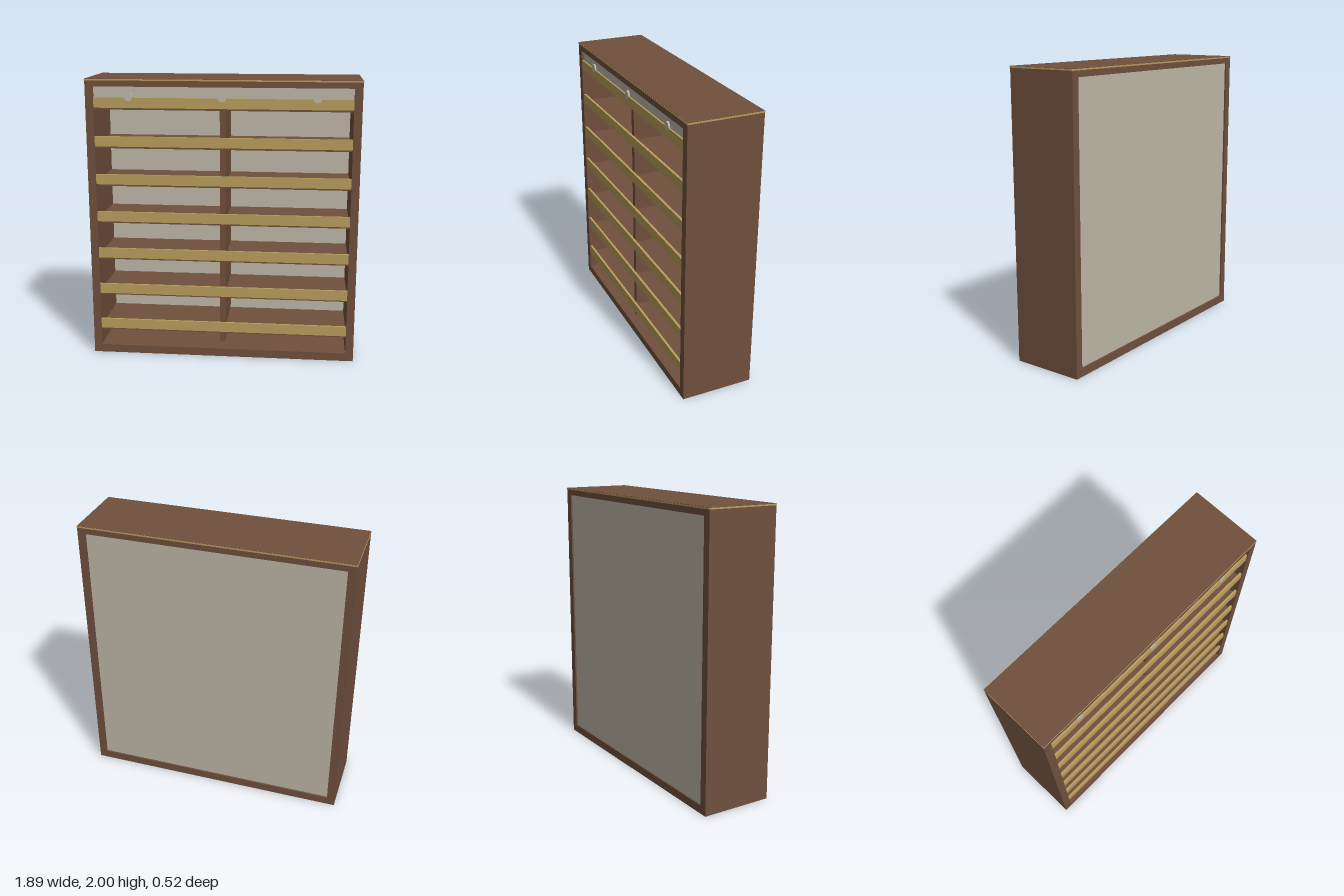
import * as THREE from 'three';

export function createModel() {
  const model = new THREE.Group();
  model.name = 'shelfCabinet';

  const mat = (name, color) => {
    const m = new THREE.MeshStandardMaterial({ color });
    m.name = name;
    return m;
  };
  const wood = mat('brown wood', 0x6f503d);
  const brass = mat('brass', 0xb99d5c);
  const panel = mat('warm grey panel', 0xbfb7a7);

  // Box given by its min and max corners
  const box = (name, material, [x0, y0, z0], [x1, y1, z1]) => {
    const mesh = new THREE.Mesh(new THREE.BoxGeometry(x1 - x0, y1 - y0, z1 - z0), material);
    mesh.position.set((x0 + x1) / 2, (y0 + y1) / 2, (z0 + z1) / 2);
    mesh.name = name;
    model.add(mesh);
    return mesh;
  };

  const W = 0.945, D = 0.257, IN = 0.889;
  const FLOOR = 0.058, CEIL = 1.947;

  // Outer case
  box('leftWall', wood, [IN, 0, -D], [W, 2, D]);
  box('rightWall', wood, [-W, 0, -D], [-IN, 2, D]);
  box('base', wood, [-IN, 0, -D], [IN, FLOOR, D]);
  box('top', wood, [-IN, CEIL, -D], [IN, 2, D]);

  // Back panel, slightly recessed in the frame
  box('backPanel', panel, [-IN, FLOOR, -0.245], [IN, CEIL, -0.225]);

  // Thin brass edging round the top
  const E = 0.002;
  for (const s of [-1, 1]) {
    const z = s * (D + E / 2), x = s * (W + E / 2);
    box('topEdging', brass, [-W - E, 1.988, z - E / 2], [W + E, 1.998, z + E / 2]);
    box('topEdging', brass, [x - E / 2, 1.988, -D], [x + E / 2, 1.998, D]);
  }

  // Central divider, stopping short of the base
  box('divider', wood, [-0.019, 0.1, -0.225], [0.019, 1.9, 0.21]);

  // Seven shelves, each with a brass front lip
  for (let i = 0; i < 7; i++) {
    const y = 0.173 + i * 0.269;
    box('shelf', wood, [-IN, y, -0.225], [IN, y + 0.03, 0.235]);
    box('shelfLip', brass, [-IN, y + 0.014, 0.235], [IN, y + 0.085, 0.252]);
  }

  // Header panel with three round studs
  box('headerPanel', panel, [-IN, 1.81, 0.215], [IN, CEIL, 0.24]);
  for (const x of [-0.645, 0, 0.645]) {
    const stud = new THREE.Mesh(new THREE.CylinderGeometry(0.03, 0.03, 0.02, 20), panel);
    stud.rotation.x = Math.PI / 2;
    stud.position.set(x, 1.877, 0.2425);
    stud.name = 'headerStud';
    model.add(stud);
  }

  return model;
}
